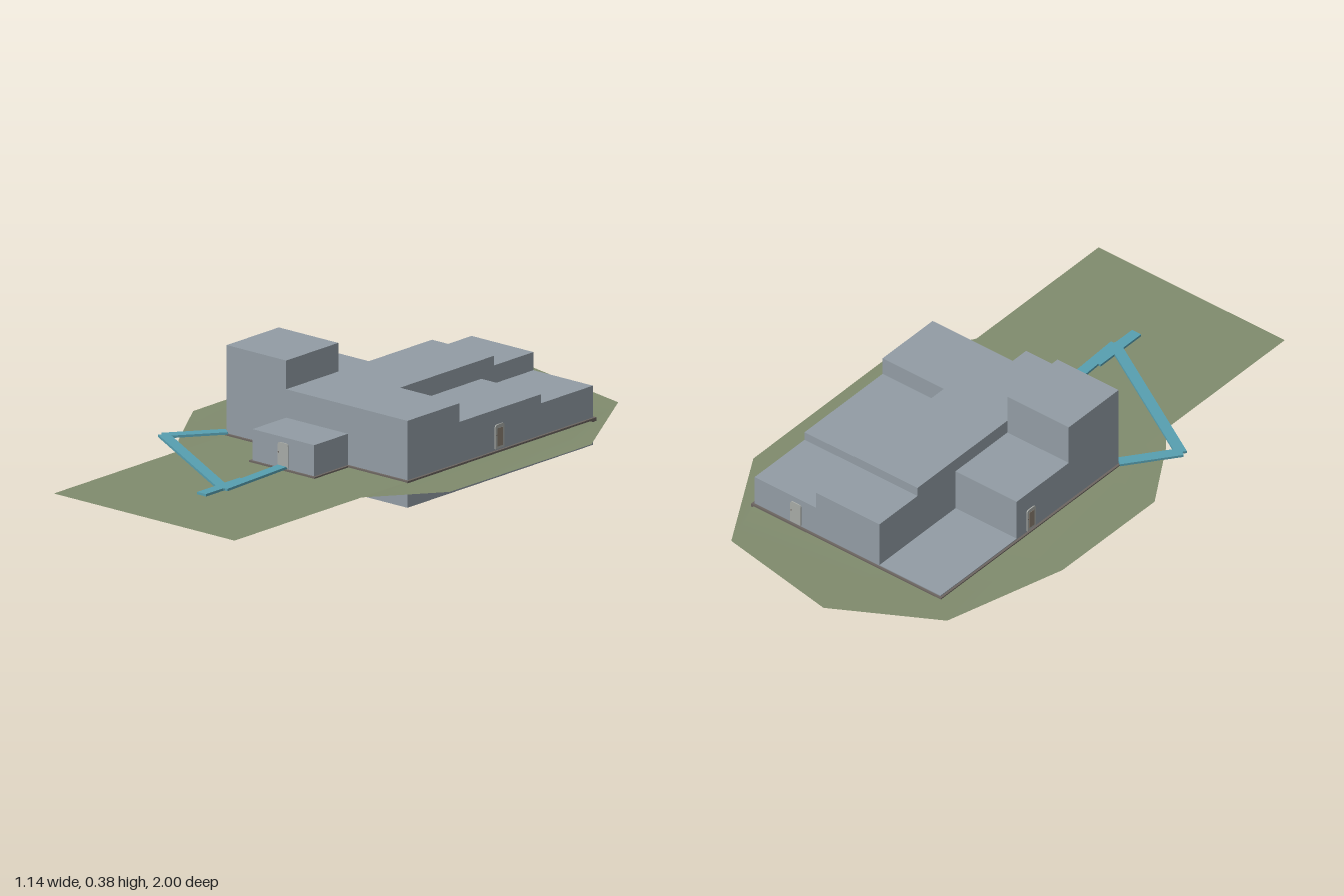
import * as THREE from 'three';

export function createModel() {
  const group = new THREE.Group();
  const mat = (name, color, side = THREE.FrontSide) => {
    const m = new THREE.MeshStandardMaterial({ color, side });
    m.name = name;
    return m;
  };
  const wall = mat('wall grey', 0x929ca4);
  const trim = mat('base trim brown', 0x6c6560);
  const grass = mat('grass green', 0x808b6d, THREE.DoubleSide);
  const teal = mat('path teal', 0x579fb0);
  const doorGrey = mat('door light grey', 0xa7aaa6);
  const doorBrown = mat('door panel brown', 0x8a7f70);

  const add = (name, geometry, material, parent = group) => {
    const m = new THREE.Mesh(geometry, material);
    m.name = name;
    parent.add(m);
    return m;
  };
  // Box given by its limits on each axis
  const block = (name, x0, x1, y0, y1, z0, z1, material = wall) => {
    const m = add(name, new THREE.BoxGeometry(x1 - x0, y1 - y0, z1 - z0), material);
    m.position.set((x0 + x1) / 2, (y0 + y1) / 2, (z0 + z1) / 2);
    return m;
  };

  // Foundation, whose top is the back terrace
  block('foundation', -0.35, 0.41, 0.004, 0.098, -0.72, 0.17);

  // Stepped building volumes: name, x0, x1, z0, z1, roof height
  for (const [name, x0, x1, z0, z1, top] of [
    ['tower', -0.35, -0.1, -0.08, 0.17, 0.387],
    ['leftWing', -0.35, -0.1, -0.34, -0.08, 0.245],
    ['mainHall', -0.1, 0.16, -0.53, 0.17, 0.292],
    ['frontRoom', 0.16, 0.41, -0.08, 0.17, 0.292],
    ['rightWing', 0.16, 0.41, -0.47, -0.08, 0.23],
    ['rearRightRoom', 0.16, 0.41, -0.72, -0.47, 0.2],
    ['rearHall', -0.1, 0.16, -0.72, -0.53, 0.26],
    ['porch', -0.1, 0.16, 0.17, 0.332, 0.198],
  ]) block(name, x0, x1, 0.09, top, z0, z1);

  // Base trim running round the walls and the porch
  const t = 0.008, y0 = 0.078, y1 = 0.095;
  block('trimBack', -0.35 - t, 0.41 + t, y0, y1, -0.72 - t, -0.72, trim);
  block('trimLeft', 0.41, 0.41 + t, y0, y1, -0.72, 0.17 + t, trim);
  block('trimRight', -0.35 - t, -0.35, y0, y1, -0.72, 0.17 + t, trim);
  block('trimFrontRight', -0.35, -0.1, y0, y1, 0.17, 0.17 + t, trim);
  block('trimFrontLeft', 0.16, 0.41, y0, y1, 0.17, 0.17 + t, trim);
  block('trimPorch', -0.1 - t, 0.16 + t, y0, y1, 0.17, 0.332 + t, trim);

  // Doors: thin plates with rounded top corners, a panel and a knob
  const plate = (w, h, r, depth) => {
    const s = new THREE.Shape();
    s.moveTo(-w / 2, 0);
    s.lineTo(w / 2, 0);
    s.lineTo(w / 2, h - r);
    s.quadraticCurveTo(w / 2, h, w / 2 - r, h);
    s.lineTo(-w / 2 + r, h);
    s.quadraticCurveTo(-w / 2, h, -w / 2, h - r);
    s.closePath();
    return new THREE.ExtrudeGeometry(s, { depth, bevelEnabled: false, curveSegments: 4 });
  };
  const door = (name, x, z, angle, panel) => {
    const g = new THREE.Group();
    g.name = name;
    g.position.set(x, 0.1, z);
    g.rotation.y = angle;
    group.add(g);
    add('doorLeaf', plate(0.043, 0.08, 0.01, 0.004), doorGrey, g);
    if (panel) add('doorPanel', plate(0.026, 0.06, 0.003, 0.005), doorBrown, g).position.y = 0.008;
    add('doorKnob', new THREE.SphereGeometry(0.0025, 8, 6), trim, g).position.set(-0.017, 0.047, 0.005);
  };
  door('frontDoor', 0.031, 0.332, 0, false);
  door('leftDoor', 0.41, -0.27, Math.PI / 2, true);
  door('rightDoor', -0.35, -0.27, -Math.PI / 2, true);
  door('backDoor', 0.24, -0.72, Math.PI, false);

  // Flat front lawn
  const lawn = add('frontLawn', new THREE.PlaneGeometry(0.76, 0.83), grass);
  lawn.rotation.x = -Math.PI / 2;
  lawn.position.set(0.03, 0.09, 0.585);

  // Gently uneven ground round the house: outer x, z, y, then inner x, z, middle y
  const rim = [
    [0.41, 0.39, 0.09, 0.41, 0.17, 0.09],
    [0.57, 0.15, 0.085, 0.41, 0.15, 0.077],
    [0.57, -0.53, 0.083, 0.41, -0.5, 0.077],
    [0.35, -0.91, 0.088, 0.41, -0.72, 0.086],
    [-0.1, -1.0, 0.094, -0.1, -0.72, 0.092],
    [-0.45, -0.81, 0.1, -0.35, -0.72, 0.096],
    [-0.57, -0.38, 0.104, -0.35, -0.38, 0.1],
    [-0.57, 0.08, 0.102, -0.35, 0.08, 0.099],
    [-0.42, 0.32, 0.096, -0.35, 0.17, 0.094],
    [-0.35, 0.41, 0.09, -0.35, 0.17, 0.09],
  ];
  const pos = [], idx = [];
  rim.forEach(([ox, oz, oy, ix, iz, my], i) => {
    pos.push(ix, 0.09, iz, (ix + ox) / 2, my, (iz + oz) / 2, ox, oy, oz);
    if (i === 0) return;
    for (let k = 0; k < 2; k++) {
      const a = (i - 1) * 3 + k, b = i * 3 + k;
      idx.push(a, a + 1, b, b, a + 1, b + 1);
    }
  });
  const ground = new THREE.BufferGeometry();
  ground.setAttribute('position', new THREE.Float32BufferAttribute(pos, 3));
  ground.setIndex(idx);
  ground.computeVertexNormals();
  add('ground', ground, grass);

  // Paths: flat strips between two points
  const path = (name, xa, za, xb, zb) => {
    const dx = xb - xa, dz = zb - za;
    const m = add(name, new THREE.BoxGeometry(0.037, 0.008, Math.hypot(dx, dz)), teal);
    m.position.set((xa + xb) / 2, 0.1, (za + zb) / 2);
    m.rotation.y = Math.atan2(dx, dz);
  };
  path('sidePath', -0.35, 0.17, -0.475, 0.335);
  path('diagonalPath', -0.475, 0.33, 0.05, 0.635);
  path('doorPath', 0.028, 0.332, 0.042, 0.635);
  path('entryPath', 0.028, 0.52, 0.028, 0.722);

  return group;
}
